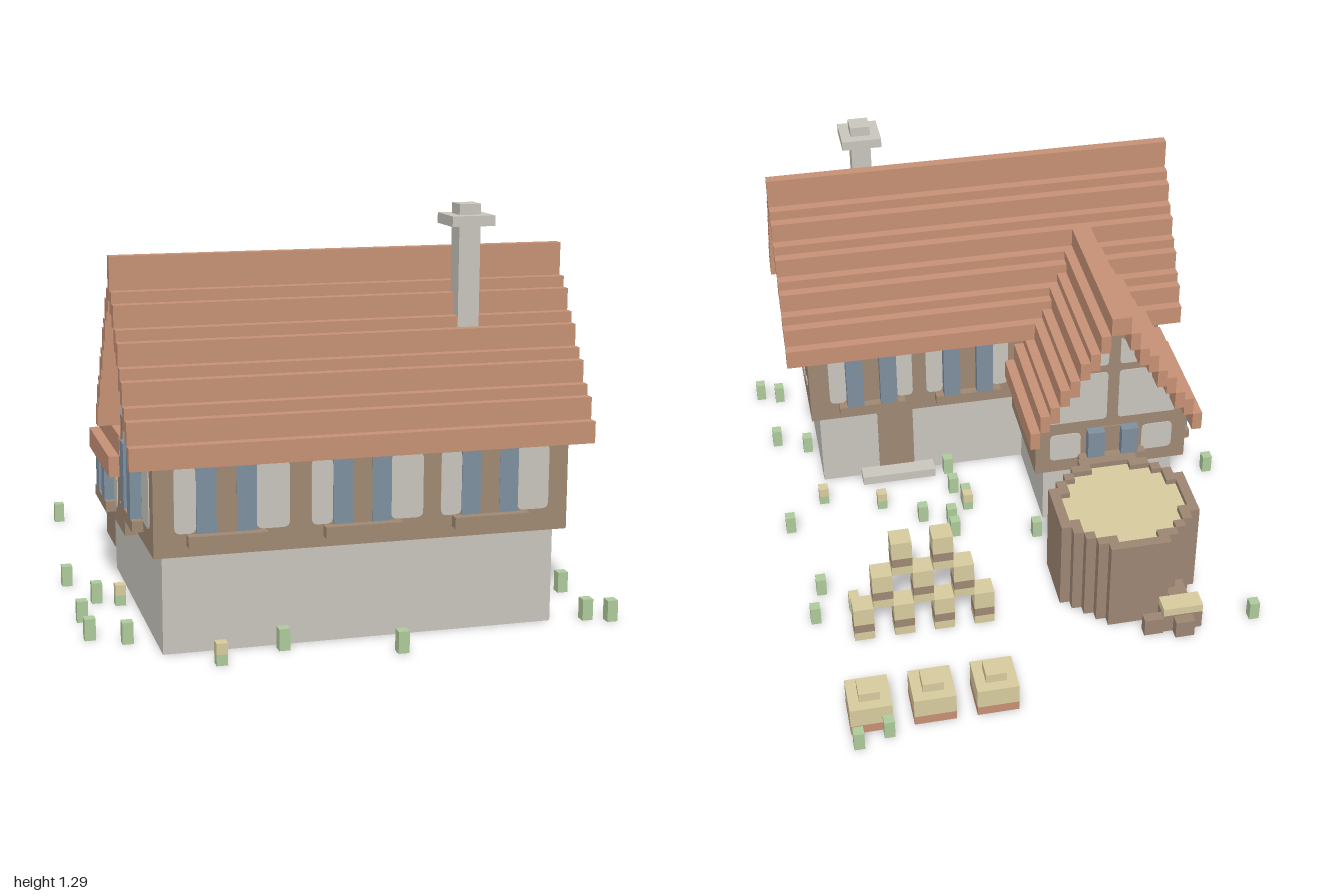
import * as THREE from 'three';

const V = 0.0339; // block unit
const mat = (name, color) => {
  const m = new THREE.MeshStandardMaterial({ color, side: THREE.DoubleSide });
  m.name = name;
  return m;
};

export function createModel() {
  const root = new THREE.Group();
  const roofMat = mat('clayTile', 0xc79175);
  const wood = mat('timber', 0xa08973);
  const darkWood = mat('barrelWood', 0x9d8673);
  const plaster = mat('plasterStone', 0xc9c6bd);
  const blue = mat('windowBlue', 0x7f90a0);
  const straw = mat('straw', 0xd8cc9e);
  const green = mat('grassGreen', 0xaecb9c);

  const group = (name, parent = root) => {
    const g = new THREE.Group();
    g.name = name;
    parent.add(g);
    return g;
  };
  // box given by its lower and upper limits; boxes on the ground are open below
  const box = (parent, name, m, x0, x1, y0, y1, z0, z1) => {
    const geo = new THREE.BoxGeometry(x1 - x0, y1 - y0, z1 - z0);
    if (y0 === 0) {
      geo.setIndex([...geo.index.array].filter((_, i) => i < 18 || i > 23));
      geo.clearGroups();
    }
    const b = new THREE.Mesh(geo, m);
    b.position.set((x0 + x1) / 2, (y0 + y1) / 2, (z0 + z1) / 2);
    b.name = name;
    parent.add(b);
  };
  const polygon = pts => new THREE.Shape(pts.map(p => new THREE.Vector2(...p)));
  const ring = (outer, inner) => {
    const s = polygon(outer);
    s.holes.push(new THREE.Path(inner.map(p => new THREE.Vector2(...p))));
    return s;
  };
  const extrude = (parent, name, m, shape, depth) => {
    const e = new THREE.Mesh(new THREE.ExtrudeGeometry(shape, { depth, bevelEnabled: false, curveSegments: 4 }), m);
    e.name = name;
    parent.add(e);
    return e;
  };
  // polygon with corners cut by quadratic curves
  const rounded = (pts, r = 0.02) => {
    const s = new THREE.Shape();
    const P = pts.map(p => new THREE.Vector2(...p));
    P.forEach((p, i) => {
      const a = P[(i + P.length - 1) % P.length], b = P[(i + 1) % P.length];
      const p0 = p.clone().lerp(a, Math.min(0.5, r / p.distanceTo(a)));
      const p1 = p.clone().lerp(b, Math.min(0.5, r / p.distanceTo(b)));
      i ? s.lineTo(p0.x, p0.y) : s.moveTo(p0.x, p0.y);
      s.quadraticCurveTo(p.x, p.y, p1.x, p1.y);
    });
    return s;
  };
  // wall frame: local x runs along the wall, local z points outwards
  const wall = (name, x, z, turn) => {
    const g = group(name);
    g.position.set(x, 0, z);
    g.rotation.y = turn;
    return g;
  };
  const panel = (w, pts, r) => extrude(w, 'plasterPanel', plaster, rounded(pts, r), 0.003);
  const rect = (w, a, b, y0, y1) => panel(w, [[a, y0], [b, y0], [b, y1], [a, y1]]);
  const windowAt = (w, u, y0, y1, depth) => {
    const g = group('window', w);
    for (const s of [-1, 1]) box(g, 'pane', blue, u + s * 0.06 - 0.03, u + s * 0.06 + 0.03, y0, y1, -0.002, depth);
    box(g, 'mullion', wood, u - 0.03, u + 0.03, y0, y1, -0.002, 0.005);
    box(g, 'sill', wood, u - 3.5 * V, u + 3.5 * V, y0 - V, y0, 0, V);
  };
  // plaster fields of a gable, mirrored about the post
  const gable = (w, low, high) => {
    for (const s of [-1, 1])
      for (const pts of [low, high]) panel(w, pts.map(([d, y]) => [s * d, y]), 0.015);
  };

  // stone base: L-shaped shell, open below
  const outline = t => [
    [-0.61 + t, -0.83 + t], [0.61 - t, -0.83 + t], [0.61 - t, -0.32 - t],
    [-0.14 - t, -0.32 - t], [-0.14 - t, 0.05 - t], [-0.61 + t, 0.05 - t]];
  extrude(root, 'stoneBase', plaster, ring(outline(0), outline(0.006)), 7 * V).rotation.x = -Math.PI / 2;
  box(root, 'stoneBaseUpper', plaster, -0.61, 0.61, 7 * V, 9 * V + 0.001, 0.32, 0.83);
  box(root, 'wingCeiling', plaster, -0.605, -0.145, 7 * V - 0.005, 7 * V + 0.001, -0.045, 0.33);

  // timber storey and gable of the main house
  const zc = 0.577;
  const body = extrude(root, 'mainBody', wood, polygon([
    [-8.5 * V, 9 * V], [8.5 * V, 9 * V], [8.5 * V, 18.5 * V], [0.5 * V, 30.5 * V], [-0.5 * V, 30.5 * V], [-8.5 * V, 18.5 * V]]), 1.28);
  body.rotation.y = Math.PI / 2;
  body.position.set(-0.64, 0, zc);
  // timber storey of the back wing
  const xc = -0.375;
  extrude(root, 'wingBody', wood, polygon([
    [-8 * V, 7 * V], [8 * V, 7 * V], [8 * V, 14 * V], [0, 26 * V], [-8 * V, 14 * V]]), 0.46).position.set(xc, 0, -0.08);

  // stepped roofs
  const mainTops = [19, 21, 22, 24, 25, 27, 28, 30, 31];
  const mainRoof = group('mainRoof');
  mainTops.forEach((t, k) => {
    for (const s of [-1, 1]) {
      const c = zc + s * (9 - k) * V;
      box(mainRoof, 'tileCourse', roofMat, -0.712, 0.712, (t - 2) * V, t * V, c - V / 2, c + V / 2);
    }
  });
  box(mainRoof, 'ridge', roofMat, -0.712, 0.712, 30 * V, 34 * V, zc - V / 2, zc + V / 2);
  const wingRoof = group('wingRoof');
  [14, 16, 17, 19, 20, 22, 23, 25, 27].forEach((t, k) => {
    const end = zc - 9.5 * V + (t < 19 ? 1 : mainTops.filter(m => m < t).length + 0.5) * V;
    for (const s of [-1, 1]) {
      const c = xc + s * (8.5 - k) * V;
      box(wingRoof, 'tileCourse', roofMat, c - V / 2, c + V / 2, (t - 2) * V, t * V, -0.15, end);
    }
  });

  // front wall
  const front = wall('frontWall', 0, zc + 8.5 * V, 0);
  for (const u of [-0.424, -0.013, 0.388]) {
    windowAt(front, u, 11 * V, 17 * V, 0.006);
    rect(front, u - 0.155, u - 0.09, 0.375, 0.575);
    rect(front, u + 0.09, u + 0.19, 0.375, 0.575);
  }
  // back wall with windows, door and step
  const back = wall('backWall', 0, zc - 8.5 * V, Math.PI);
  for (const u of [-0.42, -0.07]) {
    windowAt(back, u, 11 * V, 17 * V, V);
    rect(back, u - 0.15, u - 0.09, 0.375, 0.575);
    rect(back, u + 0.09, u + 0.15, 0.375, 0.575);
  }
  box(root, 'door', wood, 0.27, 0.40, 0.03, 0.30, 0.317, 0.322);
  box(root, 'doorStep', plaster, 0.2, 0.47, 0, V, 0.26, 0.32);

  // gable ends of the main house
  const low = [[0.02, 0.615], [0.275, 0.615], [0.265, 0.65], [0.125, 0.85], [0.02, 0.85]];
  const high = [[0.02, 0.875], [0.1, 0.875], [0.06, 0.95], [0.02, 0.99]];
  const right = wall('rightWall', 0.64, zc, Math.PI / 2);
  gable(right, low, high);
  rect(right, -0.225, 0.13, 0.375, 0.445);
  panel(right, [[-0.225, 0.48], [0.05, 0.48], [-0.05, 0.53], [-0.1, 0.575], [-0.225, 0.575]]);
  panel(right, [[-0.06, 0.575], [0.08, 0.575], [0.15, 0.52], [0.15, 0.48], [0.09, 0.48]]);
  rect(right, 0.185, 0.22, 0.41, 0.445);
  const left = wall('leftWall', -0.64, zc, -Math.PI / 2);
  gable(left, low, high);
  windowAt(left, 0, 11 * V, 17 * V, V);
  for (const s of [-1, 1]) rect(left, s * 0.17 - 0.06, s * 0.17 + 0.06, 0.375, 0.575);

  // wing walls
  const wingBack = wall('wingBackWall', xc, -0.08, Math.PI);
  gable(wingBack, [[0.02, 0.45], [0.23, 0.45], [0.22, 0.5], [0.115, 0.65], [0.02, 0.65]],
    [[0.02, 0.68], [0.1, 0.68], [0.06, 0.75], [0.02, 0.79]]);
  windowAt(wingBack, 0, 9 * V, 12.2 * V, V);
  for (const s of [-1, 1]) rect(wingBack, s * 0.165 - 0.055, s * 0.165 + 0.055, 0.29, 0.4);
  const wingLeft = wall('wingLeftWall', xc - 8 * V, 0, -Math.PI / 2);
  windowAt(wingLeft, 0.09, 9 * V, 12.2 * V, V);
  rect(wingLeft, -0.05, -0.01, 0.29, 0.4);
  rect(wingLeft, 0.19, 0.25, 0.29, 0.4);
  const wingRight = wall('wingRightWall', xc + 8 * V, 0, Math.PI / 2);
  panel(wingRight, [[-0.28, 0.29], [-0.1, 0.29], [-0.05, 0.34], [-0.08, 0.385], [-0.28, 0.385]]);
  rect(wingRight, -0.02, 0.015, 0.34, 0.375);

  // chimney
  const chimney = group('chimney');
  for (const [h, y0, y1] of [[V, 0.85, 1.225], [2 * V, 1.225, 1.257], [V, 1.257, 1.29]])
    box(chimney, 'chimneyBlock', plaster, 0.372 - h, 0.372 + h, y0, y1, 0.662 - h, 0.662 + h);

  // round vat with a stepped outline, open below and filled with straw
  const disc = (r, scale = 1) => {
    const side = [];
    for (let i = 7 - r; i < 7 + r; i++) {
      const h = Math.round(Math.sqrt(r * r - (i - 6.5) ** 2)) * V * scale;
      side.push([h, (i - 7) * V * scale], [h, (i - 6) * V * scale]);
    }
    return [...side, ...side.map(([x, y]) => [-x, y]).reverse()];
  };
  const vat = group('vat');
  vat.position.set(-0.34, 0, -0.39);
  vat.rotation.x = -Math.PI / 2;
  extrude(vat, 'staves', darkWood, ring(disc(7), disc(7, 0.98)), 0.3);
  extrude(vat, 'rim', darkWood, ring(disc(7), disc(6)), 0.04).position.z = 0.3;
  extrude(vat, 'strawFill', straw, polygon(disc(6)), 0.02).position.z = 0.3;

  // small tub behind the vat
  const tub = group('tub');
  box(tub, 'tubBody', darkWood, -0.545, -0.41, 0, 0.07, -0.695, -0.63);
  box(tub, 'tubStraw', straw, -0.545, -0.41, 0.07, 0.1, -0.695, -0.63);
  box(tub, 'tubHandle', darkWood, -0.51, -0.445, 0, 0.065, -0.73, -0.695);
  box(tub, 'tubSide', darkWood, -0.41, -0.345, 0, 0.065, -0.7, -0.665);
  box(tub, 'tubSpout', darkWood, -0.51, -0.445, 0.03, 0.1, -0.63, -0.56);

  // sheaves stacked in rows of four, three and two
  const stack = group('sheafStack');
  for (let r = 0; r < 3; r++)
    for (let c = 0; c < 4 - r; c++) {
      const x = 0.133 + (c * 4 + r * 2) * V, y = r * 4 * V;
      for (const [name, m, a, b] of [['sheafFoot', straw, 0, 1], ['sheafBand', wood, 1, 2], ['sheafTop', straw, 2, 4]])
        box(stack, name, m, x, x + 2 * V, y + a * V, y + b * V, -0.532, -0.464);
    }
  // three baskets
  for (const x of [0.2, 0.403, 0.606]) {
    const g = group('basket');
    box(g, 'basketBase', roofMat, x - 2 * V, x + 2 * V, 0, V, -0.935, -0.8);
    box(g, 'basketBody', straw, x - 2 * V, x + 2 * V, V, 0.104, -0.935, -0.8);
    box(g, 'basketTop', straw, x - V, x + V, 0.104, 0.137, -0.8675 - V, -0.8675 + V);
  }

  // grass tufts; the last list has straw-coloured tips
  const tufts = group('grass');
  const tuft = tip => ([x, z]) => {
    box(tufts, 'tuft', green, x - V / 2, x + V / 2, 0, tip ? V : 2 * V, z - V / 2, z + V / 2);
    if (tip) box(tufts, 'tuftTip', straw, x - V / 2, x + V / 2, V, 2 * V, z - V / 2, z + V / 2);
  };
  [[-0.8, 0.1], [-0.73, -0.68], [-0.73, 0.3], [-0.8, 0.47], [-0.8, 0.64], [0.185, -0.07], [0.185, 0], [0.115, 0.1],
    [0.15, 0.165], [0.285, 0.03], [0.76, 0.065], [0.725, -0.41], [0.69, -0.275], [0.76, 0.57], [0.725, 0.845],
    [0.795, 0.875], [0.08, 0.98], [0.555, -0.955], [0.655, -0.985], [-0.695, 0.7], [-0.255, 0.87], [0.65, 0.51],
    [0.15, 0.28], [-0.1, -0.13]].forEach(tuft(false));
  [[0.115, 0.065], [0.42, 0.13], [0.625, 0.2], [0.59, -0.377], [-0.46, 0.945], [-0.66, 0.34]].forEach(tuft(true));

  return root;
}
